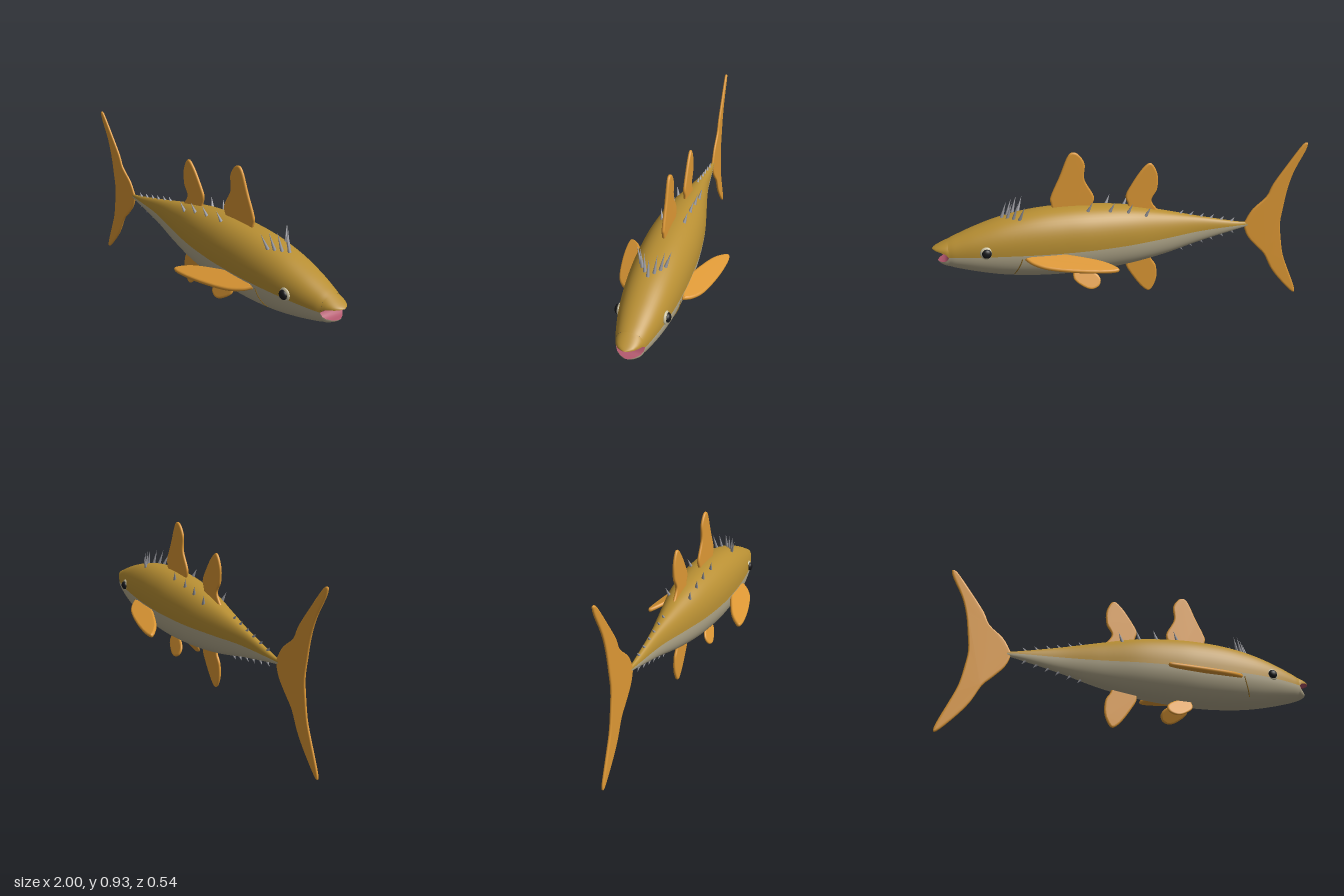
import * as THREE from 'three';
import { mergeVertices } from 'three/addons/utils/BufferGeometryUtils.js';

const paint = (name, color, side = THREE.FrontSide) => {
  const m = new THREE.MeshStandardMaterial({ color, side });
  m.name = name;
  return m;
};
const V = (x, y, z) => new THREE.Vector3(x, y, z);
const E = 0.9; // exponent that makes the body section slightly boxy
const soft = v => Math.sign(v) * Math.abs(v) ** E;

// Body profile: x, top, bottom, half width, height of the colour seam
const PROFILE = [
  [-0.69, 0.467, 0.447, 0.006, 0.457], [-0.6, 0.483, 0.43, 0.016, 0.459],
  [-0.4, 0.53, 0.385, 0.036, 0.457], [-0.2, 0.58, 0.335, 0.075, 0.45],
  [0, 0.625, 0.303, 0.115, 0.447], [0.2, 0.646, 0.288, 0.136, 0.446],
  [0.35, 0.65, 0.285, 0.14, 0.447], [0.5, 0.641, 0.293, 0.137, 0.45],
  [0.65, 0.615, 0.312, 0.125, 0.453], [0.78, 0.576, 0.341, 0.105, 0.453],
  [0.88, 0.538, 0.369, 0.081, 0.451], [0.92, 0.521, 0.383, 0.068, 0.45]
];
const heights = new THREE.CatmullRomCurve3(PROFILE.map(p => V(p[0], p[1], p[2])), false, 'catmullrom');
const widths = new THREE.CatmullRomCurve3(PROFILE.map(p => V(p[0], p[3], p[4])), false, 'catmullrom');

function section(t) {
  const a = heights.getPoint(t), b = widths.getPoint(t);
  return { x: a.x, cy: (a.y + a.z) / 2, h: (a.y - a.z) / 2, w: b.y, seam: b.z };
}
function sectionAt(x) {
  let lo = 0, hi = 1;
  for (let i = 0; i < 30; i++) {
    const mid = (lo + hi) / 2;
    if (heights.getPoint(mid).x < x) lo = mid; else hi = mid;
  }
  return section(lo);
}
// Point on the left flank at a given x and height
function flank(x, y) {
  const s = sectionAt(x);
  const sin = Math.min(1, Math.abs((y - s.cy) / s.h) ** (1 / E));
  return V(x, y, s.w * Math.sqrt(1 - sin * sin) ** E);
}

// Skin over rings of points; columns from "split" on use the second material
function loft(rings, split) {
  const n = rings[0].length, first = [], second = [];
  for (let i = 0; i < rings.length - 1; i++) {
    for (let j = 0; j < n - 1; j++) {
      const a = i * n + j, b = a + n;
      (j < split ? first : second).push(a, b, b + 1, a, b + 1, a + 1);
    }
  }
  const g = new THREE.BufferGeometry().setFromPoints(rings.flat());
  g.setIndex([...first, ...second]);
  g.addGroup(0, first.length, 0);
  g.addGroup(first.length, second.length, 1);
  g.computeVertexNormals();
  return g;
}

// Thin rounded fin from a smooth closed outline
function finGeometry(outline, half = 0.008) {
  const pts = [...outline, outline[0]].map(p => new THREE.Vector2(...p));
  const shape = new THREE.Shape(new THREE.SplineCurve(pts).getPoints(72).slice(0, -1));
  const core = 0.003;
  let g = new THREE.ExtrudeGeometry(shape, {
    depth: core, bevelThickness: half - core / 2, bevelSize: 0.009, bevelOffset: -0.009, bevelSegments: 3
  });
  g.translate(0, 0, -core / 2);
  g.deleteAttribute('normal');
  g.deleteAttribute('uv');
  g = mergeVertices(g, 1e-5);
  g.computeVertexNormals();
  return g;
}

export function createModel() {
  const gold = paint('gold back', 0xb88f33);
  const cream = paint('grey cream belly', 0xb3a98c);
  const orange = paint('orange fins', 0xdc9734);
  const steel = paint('grey spines', 0x98989e);
  const pink = paint('pink mouth', 0xb2566c, THREE.DoubleSide);
  const black = paint('black pupil', 0x17181b);
  const bone = paint('pale eye ring', 0xc9c0a0);
  const brown = paint('brown gill line', 0x8f6a22);

  const fish = new THREE.Group();
  fish.name = 'fish';
  const add = (name, geometry, material, parent = fish) => {
    const mesh = new THREE.Mesh(geometry, material);
    mesh.name = name;
    parent.add(mesh);
    return mesh;
  };

  // Body: gold above the seam, cream below it
  const half = 28, rings = [];
  for (let i = 0; i <= 80; i++) {
    const s = section(i / 80), ring = [];
    const k = (s.seam - s.cy) / s.h;
    const a0 = Math.asin(Math.sign(k) * Math.abs(k) ** (1 / E));
    for (let j = 0; j <= half * 2; j++) {
      const a = j <= half ? a0 + (Math.PI - 2 * a0) * j / half
        : Math.PI - a0 + (Math.PI + 2 * a0) * (j - half) / half;
      ring.push(V(s.x, s.cy + s.h * soft(Math.sin(a)), s.w * soft(Math.cos(a))));
    }
    rings.push(ring);
  }
  add('body', loft(rings, half), [gold, cream]);
  const stump = add('tailStump', new THREE.SphereGeometry(1, 16, 10), gold);
  stump.scale.set(0.012, 0.01, 0.006);
  stump.position.set(-0.69, 0.457, 0);

  // Jaws: x, outer edge, lip, half width
  const jaws = {
    upperJaw: [[0.92, 0.521, 0.45, 0.068], [0.935, 0.514, 0.466, 0.063], [0.96, 0.503, 0.474, 0.052],
      [0.98, 0.494, 0.478, 0.038], [0.992, 0.488, 0.48, 0.022], [1, 0.482, 0.481, 0.003]],
    lowerJaw: [[0.92, 0.383, 0.45, 0.068], [0.93, 0.387, 0.432, 0.063], [0.945, 0.394, 0.423, 0.053],
      [0.96, 0.401, 0.419, 0.036], [0.97, 0.408, 0.417, 0.02], [0.976, 0.414, 0.415, 0.003]]
  };
  for (const [name, rows] of Object.entries(jaws)) {
    const start = name === 'upperJaw' ? 0 : Math.PI;
    const shell = rows.map(([x, outer, lip, w]) => Array.from({ length: 25 }, (_, j) => {
      const a = start + Math.PI * j / 24;
      return V(x, lip + Math.abs(outer - lip) * soft(Math.sin(a)), w * soft(Math.cos(a)));
    }));
    add(name, loft(shell, 24), [start ? cream : gold, gold]);
    add(name + 'Lining', loft(rows.map(([x, , lip, w]) => [V(x, lip, w), V(x, lip, -w)]), 1), pink);
  }

  // Fins on the centre line
  add('frontDorsalFin', finGeometry([[0.2, 0.62], [0.17, 0.685], [0.218, 0.785], [0.215, 0.865], [0.245, 0.918],
    [0.28, 0.93], [0.307, 0.9], [0.345, 0.81], [0.39, 0.715], [0.395, 0.675], [0.36, 0.62]]), orange);
  const rear = [[-0.185, 0.57], [-0.135, 0.64], [-0.163, 0.7], [-0.168, 0.77], [-0.147, 0.828], [-0.12, 0.847],
    [-0.077, 0.81], [-0.025, 0.735], [0.003, 0.68], [-0.008, 0.635], [-0.03, 0.58]];
  add('rearDorsalFin', finGeometry(rear), orange);
  add('analFin', finGeometry(rear.map(([x, y]) => [x, 0.965 - y])), orange);
  add('tailFin', finGeometry([[-0.995, 0.896], [-0.968, 0.89], [-0.888, 0.784], [-0.813, 0.677], [-0.78, 0.608],
    [-0.707, 0.544], [-0.67, 0.485], [-0.66, 0.45], [-0.685, 0.384], [-0.74, 0.32], [-0.79, 0.267], [-0.835, 0.18],
    [-0.888, 0.107], [-0.968, 0.02], [-0.995, 0.008], [-0.985, 0.055], [-0.925, 0.197], [-0.9, 0.267],
    [-0.883, 0.357], [-0.872, 0.448], [-0.883, 0.544], [-0.9, 0.65], [-0.93, 0.747], [-0.985, 0.855]], 0.007), orange);

  // Paired fins: outline in x and distance from the root, drooping from level
  const pectoral = finGeometry([[0.55, -0.005], [0.51, 0.04], [0.43, 0.083], [0.27, 0.123], [0.13, 0.14],
    [0.096, 0.122], [0.16, 0.065], [0.27, 0.016], [0.38, -0.02], [0.48, -0.025]], 0.011);
  const pelvic = finGeometry([[0.29, -0.02], [0.293, 0.035], [0.25, 0.078], [0.205, 0.098], [0.165, 0.085],
    [0.152, 0.053], [0.17, 0.02], [0.22, -0.01]], 0.007);
  for (const side of [1, -1]) {
    const label = side > 0 ? 'left' : 'right';
    const paired = [['PectoralFin', pectoral, 0.43, 0.14, 21], ['PelvicFin', pelvic, 0.285, 0.032, 65]];
    for (const [name, geometry, y, z, droop] of paired) {
      const fin = add(label + name, geometry, orange);
      fin.position.set(0, y, side * z);
      fin.rotation.x = side * THREE.MathUtils.degToRad(90 + droop);
    }

    // Eye: pale disc with a bulging pupil
    const eye = new THREE.Group();
    eye.name = label + 'Eye';
    eye.position.set(0.735, 0.474, side * 0.108);
    fish.add(eye);
    add('eyeRing', new THREE.SphereGeometry(1, 24, 16), bone, eye).scale.set(0.033, 0.033, 0.013);
    const pupil = add('pupil', new THREE.SphereGeometry(1, 24, 16), black, eye);
    pupil.scale.set(0.024, 0.024, 0.016);
    pupil.position.z = side * 0.009;

    // Gill line hugging the flank
    const gill = [[0.562, 0.435], [0.57, 0.41], [0.58, 0.385], [0.592, 0.36], [0.603, 0.338]].map(([x, y]) => {
      const p = flank(x, y);
      p.z *= side;
      return p;
    });
    add(label + 'GillLine', new THREE.TubeGeometry(new THREE.CatmullRomCurve3(gill), 20, 0.003, 6), brown);
  }

  // Spines: cones from base to tip
  const spine = (name, base, tip, radius) => {
    const axis = tip.clone().sub(base);
    const cone = add(name, new THREE.ConeGeometry(radius, axis.length(), 10), steel);
    cone.position.copy(base).addScaledVector(axis, 0.5);
    cone.quaternion.setFromUnitVectors(V(0, 1, 0), axis.normalize());
  };
  const crest = [[0.645, 0, 0.7], [0.618, 0.022, 0.704], [0.59, 0.042, 0.706], [0.56, 0.058, 0.692]];
  for (const [x, z, tipY] of crest) {
    for (const side of z ? [1, -1] : [1]) {
      spine('crestSpine', V(x, 0.615, side * z), V(x - 0.027, tipY, side * z * 1.42), 0.009);
    }
  }
  for (const x of [-0.09, 0.005, 0.1, 0.215]) {
    const s = sectionAt(x), z = 0.055;
    const y = s.cy + s.h * Math.sqrt(1 - (z / s.w) ** 2);
    for (const side of [1, -1]) spine('backSpine', V(x, y - 0.005, side * z), V(x - 0.025, y + 0.05, side * 0.068), 0.01);
  }
  for (const x of [-0.59, -0.53, -0.47, -0.415, -0.355, -0.3]) {
    const s = sectionAt(x);
    for (const up of [1, -1]) {
      const y = s.cy + up * s.h;
      spine('tailSpine', V(x + 0.008, y - up * 0.006, 0), V(x - 0.014, y + up * 0.02, 0), 0.009);
    }
  }
  return fish;
}
